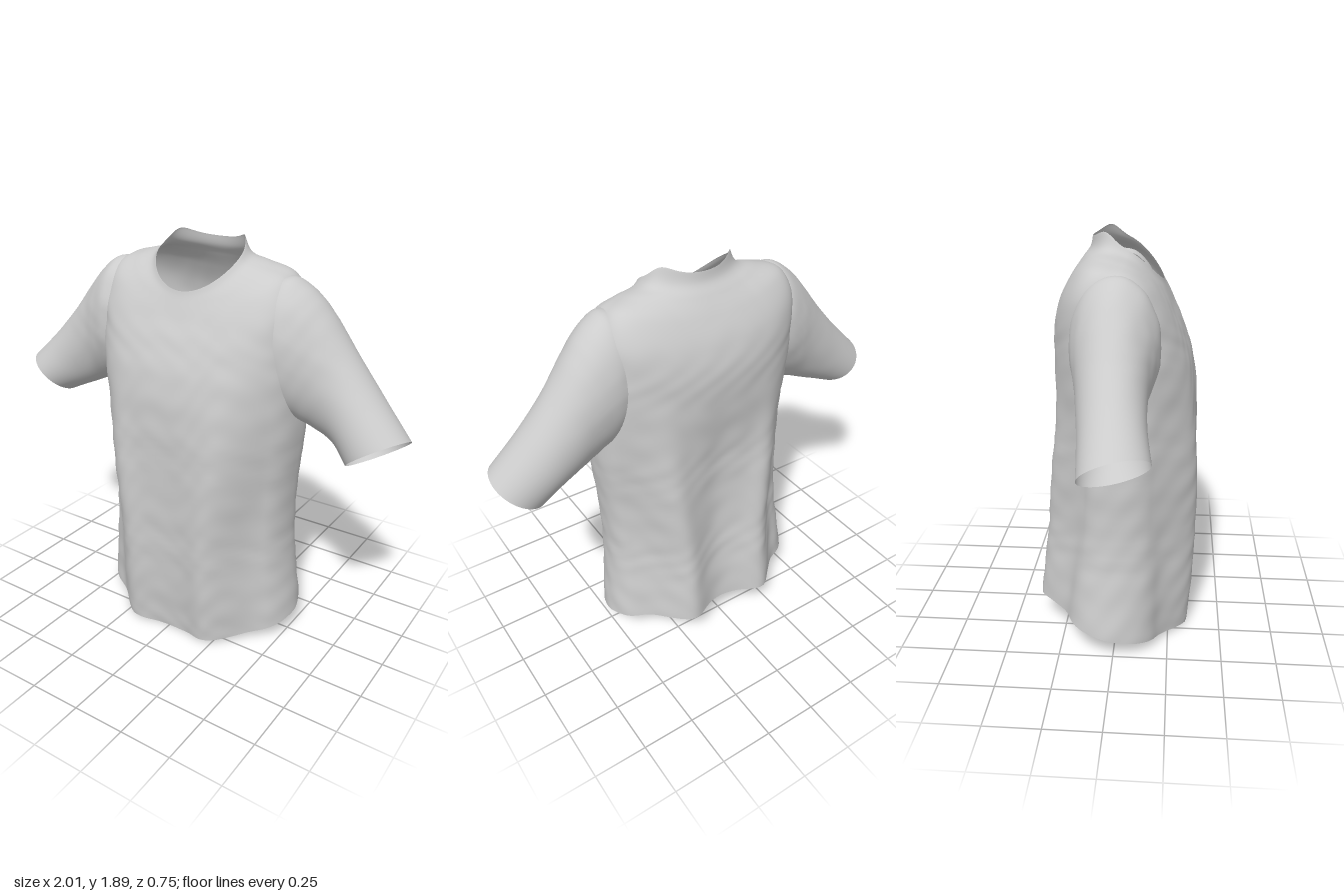
import * as THREE from 'three';

const TAU = Math.PI * 2;

// Smoothly interpolates a table of cross-section rows at t in 0..1
function sample(rows, t) {
  const f = t * (rows.length - 1);
  const i = Math.min(Math.floor(f), rows.length - 2);
  const k = f - i;
  const row = (j) => rows[Math.max(0, Math.min(rows.length - 1, j))];
  return rows[0].map((_, c) => {
    const p0 = row(i - 1)[c], p1 = row(i)[c], p2 = row(i + 1)[c], p3 = row(i + 2)[c];
    const m1 = (p2 - p0) / 2, m2 = (p3 - p1) / 2;
    return p1 + k * (m1 + k * (3 * (p2 - p1) - 2 * m1 - m2 + k * (2 * (p1 - p2) + m1 + m2)));
  });
}

// Open tube of cloth: point(angle, t) gives the surface, keep() can leave holes
function clothTube(name, around, along, flip, point, keep = () => true) {
  const pos = [], index = [];
  for (let j = 0; j <= along; j++) {
    for (let i = 0; i < around; i++) pos.push(...point((i / around) * TAU, j / along));
  }
  for (let j = 0; j < along; j++) {
    for (let i = 0; i < around; i++) {
      const a = j * around + i, b = j * around + ((i + 1) % around);
      const c = a + around, d = b + around;
      if (!keep(pos[a * 3], pos[a * 3 + 1], pos[a * 3 + 2])) continue;
      if (flip) index.push(a, c, b, b, c, d);
      else index.push(a, b, c, b, d, c);
    }
  }
  const geo = new THREE.BufferGeometry();
  geo.setAttribute('position', new THREE.Float32BufferAttribute(pos, 3));
  geo.setIndex(index);
  geo.computeVertexNormals();
  const mesh = new THREE.Mesh(geo, new THREE.MeshStandardMaterial({ color: 0xcccccc, side: THREE.DoubleSide }));
  mesh.name = name;
  return mesh;
}

const { smoothstep } = THREE.MathUtils;
const bell = (x, centre, width) => Math.exp(-(((x - centre) / width) ** 2));

// Fine crumple of the fabric
const crumple = (x, y, z) =>
  0.0009 * (Math.sin(37 * x + 29 * y + 4 * Math.sin(13 * y)) + Math.sin(43 * y - 31 * x + 3 * Math.sin(17 * x)) + Math.sin(47 * z - 33 * y));

// Torso rings, hem to neckline:
// centre x, half width, y front, y side, y back, z side, z front, z back, fullness power
const torsoRings = [
  [-0.005, 0.52, 0.0, 0.1, 0.15, -0.02, 0.325, -0.345, 1],
  [0.0, 0.5, 0.22, 0.28, 0.32, -0.02, 0.348, -0.33, 1],
  [0.005, 0.485, 0.5, 0.52, 0.54, -0.01, 0.363, -0.305, 0.97],
  [0.01, 0.48, 0.8, 0.8, 0.8, 0, 0.372, -0.29, 0.9],
  [0.022, 0.495, 1.08, 1.1, 1.06, 0, 0.37, -0.283, 0.82],
  [0.015, 0.495, 1.26, 1.35, 1.28, 0, 0.352, -0.294, 0.74],
  [0.01, 0.485, 1.38, 1.53, 1.45, -0.01, 0.32, -0.294, 0.7],
  [0.005, 0.475, 1.48, 1.65, 1.58, -0.015, 0.28, -0.268, 0.68],
  [0.0, 0.425, 1.56, 1.742, 1.69, -0.005, 0.242, -0.215, 0.74],
  [0.005, 0.33, 1.62, 1.772, 1.765, 0.025, 0.215, -0.165, 0.87],
  [0.01, 0.24, 1.65, 1.787, 1.81, 0.045, 0.203, -0.132, 0.97],
  [0.01, 0.208, 1.67, 1.815, 1.852, 0.05, 0.197, -0.122, 1],
];

function torsoPoint(angle, t) {
  const [cx, hw, yF, yS, yB, zS, zF, zB, power] = sample(torsoRings, t);
  const s = Math.sin(angle);
  const full = Math.sign(s) * Math.abs(s) ** power;
  const x = cx + hw * Math.cos(angle);
  let y = yS + ((yF - yB) / 2) * s + ((yF + yB) / 2 - yS) * s * s;
  // Collar stands highest just behind the shoulders
  y += 0.035 * bell(s, -0.6, 0.28) * smoothstep(t, 0.86, 1);
  let z = zS + full * (s > 0 ? zF - zS : zS - zB);
  // Hanging folds: ridges either side of a shallow middle, hollows beyond, spreading upward
  const drop = 1 - smoothstep(y, 0.7, 1.5);
  const ax = Math.abs(x - 0.015) - 0.08 * smoothstep(y, 0.3, 1.4);
  const ridge = (s > 0 ? 0.036 : 0.05) * bell(ax, 0.21, 0.085);
  const hollow = 0.028 * bell(ax, 0.37, 0.07);
  const middle = (s > 0 ? 0.018 : 0.038) * bell(x, 0.02, 0.11);
  z += Math.sign(s) * Math.min(1, Math.abs(s) * 2) * drop * (ridge - hollow - middle);
  // Side edges wave slightly
  const wave = 0.005 * Math.sin(9 * y) * Math.cos(angle) * drop;
  const c = crumple(x, y, z) * (1 - t * t);
  return [x + wave + c * Math.cos(angle), y, z + c * s];
}

// Sleeve sections, shoulder to cuff: top x, top y, under x, under y, z front, z back
const leftSleeve = [
  [0.37, 1.735, 0.43, 1.17, 0.17, -0.18],
  [0.45, 1.746, 0.47, 1.145, 0.17, -0.19],
  [0.53, 1.7, 0.52, 1.125, 0.15, -0.19],
  [0.61, 1.615, 0.58, 1.1, 0.125, -0.185],
  [0.72, 1.465, 0.645, 1.07, 0.112, -0.178],
  [0.85, 1.305, 0.705, 1.035, 0.12, -0.163],
  [1.0, 1.14, 0.765, 0.972, 0.14, -0.13],
];
const rightSleeve = [
  [0.37, 1.735, 0.41, 1.18, 0.195, -0.185],
  [0.45, 1.744, 0.45, 1.16, 0.198, -0.18],
  [0.53, 1.69, 0.505, 1.14, 0.18, -0.165],
  [0.61, 1.6, 0.57, 1.115, 0.16, -0.145],
  [0.73, 1.455, 0.645, 1.08, 0.153, -0.125],
  [0.86, 1.315, 0.715, 1.05, 0.16, -0.11],
  [1.0, 1.18, 0.8, 1.012, 0.18, -0.1],
];

function sleeve(name, rows, side) {
  return clothTube(name, 56, 48, side < 0, (angle, t) => {
    const [tx, ty, ux, uy, zF, zB] = sample(rows, t);
    const k = Math.cos(angle), s = Math.sin(angle);
    // The cuff is cut at a slant, shorter in front
    const slant = 0.028 * s * smoothstep(t, 0.5, 1);
    const x = (tx + ux) / 2 + ((tx - ux) / 2) * k - slant;
    const y = (ty + uy) / 2 + ((ty - uy) / 2) * k + slant;
    const z = (zF + zB) / 2 + ((zF - zB) / 2) * s;
    const c = crumple(x * side, y, z) * (1 - t);
    return [side * x, y + c * k, z + c * s];
  });
}

export function createModel() {
  const shirt = new THREE.Group();
  shirt.name = 'shirt';

  // Body with hem, shoulders and collar; armholes are left open inside the sleeves
  const inArmhole = (x, y, z) => Math.abs(x) > 0.435 && y > 1.24 && y < 1.6 && Math.abs(z) < 0.11;
  shirt.add(clothTube('body', 160, 110, true, torsoPoint, (x, y, z) => !inArmhole(x, y, z)));

  shirt.add(sleeve('leftSleeve', leftSleeve, 1));
  shirt.add(sleeve('rightSleeve', rightSleeve, -1));
  return shirt;
}
